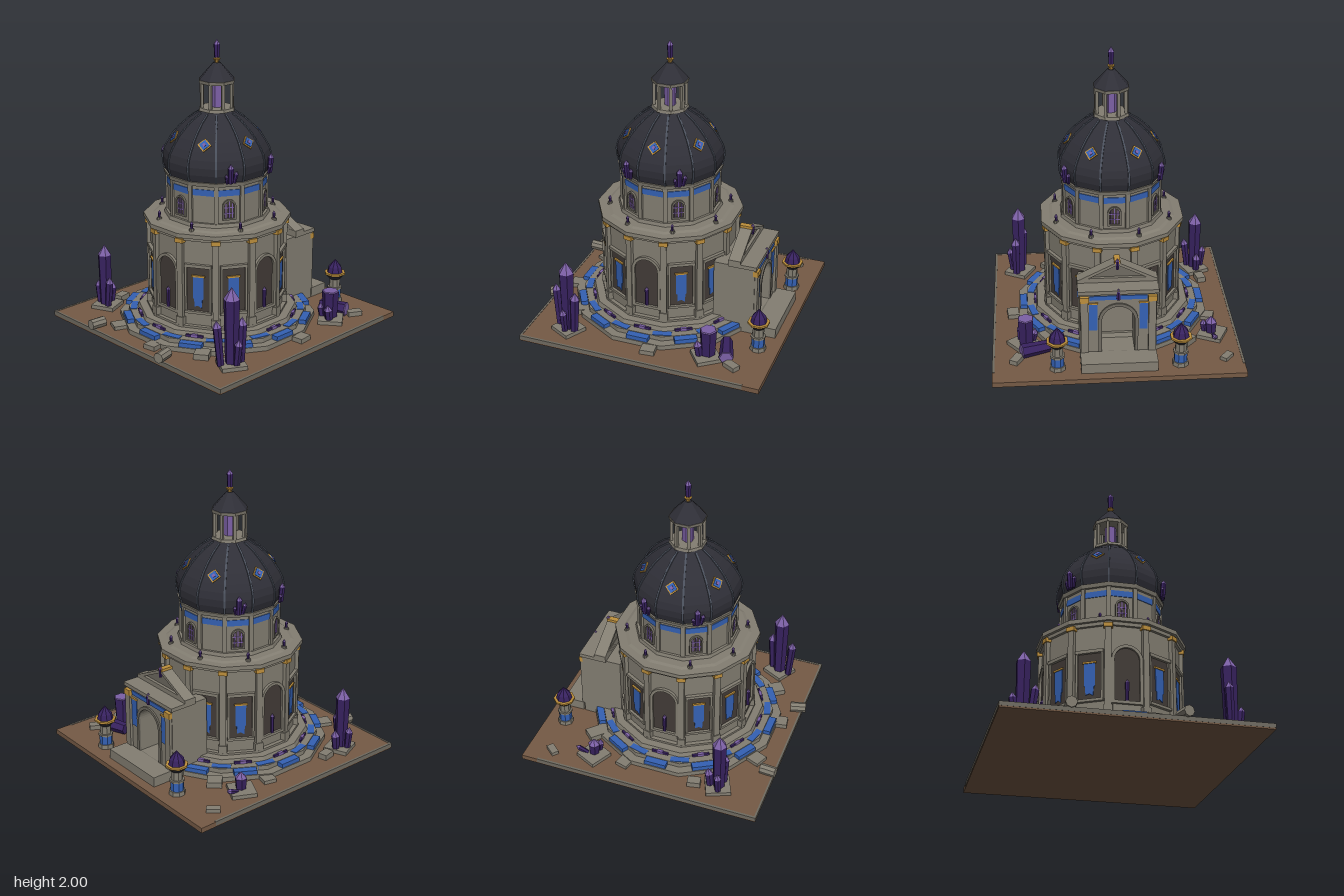
import * as THREE from 'three';

const mat = (name, color) => Object.assign(new THREE.MeshStandardMaterial({ color }), { name });
const M = {
  stone: mat('stone', 0x837e72), trim: mat('dark stone', 0x6f6b61), earth: mat('earth', 0x755a45),
  blue: mat('blue', 0x3461b4), gold: mat('gold', 0xbd8f3c), dark: mat('dark recess', 0x423b37),
  dome: mat('dome slate', 0x2f2f37), rib: mat('rib slate', 0x4a505c),
  violet: mat('deep violet', 0x382260), lilac: mat('lilac', 0x7c60a6),
};
const TAU = Math.PI * 2, CZ = 0.05;

// --- helpers ---
function flat(geo) {
  const g = geo.index ? geo.toNonIndexed() : geo;
  g.computeVertexNormals();
  return g;
}
function add(parent, name, geo, m, x = 0, y = 0, z = 0, ry = 0) {
  const mesh = new THREE.Mesh(geo, m);
  mesh.name = name;
  mesh.position.set(x, y, z);
  mesh.rotation.y = ry;
  parent.add(mesh);
  return mesh;
}
// box given by its bottom and top heights
const box = (p, name, m, w, y0, y1, d, x = 0, z = 0, ry = 0) =>
  add(p, name, new THREE.BoxGeometry(w, y1 - y0, d), m, x, (y0 + y1) / 2, z, ry);
// regular prism with flat sides facing the axes; radii are apothems
function prism(p, name, m, n, r0, r1, y0, y1, x = 0, z = 0) {
  const k = 1 / Math.cos(Math.PI / n);
  const g = new THREE.CylinderGeometry(r1 * k, r0 * k, y1 - y0, n);
  g.rotateY(Math.PI / n);
  return add(p, name, flat(g), m, x, (y0 + y1) / 2, z);
}
function group(parent, name, x = 0, y = 0, z = 0, ry = 0) {
  const g = new THREE.Group();
  g.name = name;
  g.position.set(x, y, z);
  g.rotation.y = ry;
  parent.add(g);
  return g;
}
// n groups turned about the axis, local +z pointing outward
function ring(parent, name, n, offset, build) {
  for (let i = 0; i < n; i++) {
    const a = (i + offset) * TAU / n;
    build(group(parent, name, 0, 0, 0, a), i);
  }
}
function archPath(path, hw, y0, y1) {
  path.moveTo(-hw, y0);
  path.lineTo(hw, y0);
  path.lineTo(hw, y1 - hw);
  path.absarc(0, y1 - hw, hw, 0, Math.PI, false);
  path.lineTo(-hw, y0);
  return path;
}
const arch = (hw, y0, y1) => archPath(new THREE.Shape(), hw, y0, y1);
const extrude = (s, depth) => new THREE.ExtrudeGeometry(s, { depth, bevelEnabled: false, curveSegments: 10 });
function archFrame(hw, y0, y1, t, depth) {
  const s = arch(hw + t, y0 - t, y1 + t);
  s.holes.push(archPath(new THREE.Path(), hw, y0, y1));
  return extrude(s, depth);
}
function crystal(p, x, y, z, r, h, rx = 0, rz = 0, broken = false) {
  const g = group(p, 'crystal', x, y, z);
  g.rotation.set(rx, 0, rz);
  const tip = broken ? 0.006 : Math.min(r * 1.5, h * 0.35), body = h - tip;
  add(g, 'crystalShaft', flat(new THREE.CylinderGeometry(r, r * 0.82, body, 6)), M.violet, 0, body / 2);
  add(g, 'crystalTip', flat(new THREE.CylinderGeometry(broken ? r * 0.9 : 0, r, tip, 6)), M.lilac, 0, body + tip / 2);
  return g;
}

function buildBase(root) {
  box(root, 'ground', M.earth, 1.686, 0, 0.035, 1.715, 0, -0.018);
  for (const s of [-1, 1]) box(root, 'sideKerb', M.trim, 0.016, 0.01, 0.038, 1.6, s * 0.837, 0.04);
  box(root, 'frontKerb', M.trim, 1.686, 0.01, 0.038, 0.014, 0, 0.834);
  const g = group(root, 'steps', 0, 0, CZ);
  prism(g, 'lowerStep', M.stone, 12, 0.66, 0.66, 0.03, 0.068);
  prism(g, 'middleStep', M.stone, 12, 0.602, 0.602, 0.068, 0.1);
  prism(g, 'upperStep', M.stone, 12, 0.54, 0.53, 0.1, 0.13);
  ring(g, 'stepInlay', 12, 0, (f, i) => {
    if (i === 6) return;
    box(f, 'outerTile', M.blue, 0.155, 0.066, 0.098, 0.05, 0, 0.629);
    box(f, 'runeBar', M.violet, 0.12, 0.1, 0.116, 0.014, 0, 0.546);
    box(f, 'runeStud', M.lilac, 0.04, 0.1, 0.12, 0.02, 0, 0.546);
  });
  ring(g, 'stepInlay', 12, 0.5, (f, i) => {
    if (i !== 5 && i !== 6) box(f, 'innerTile', M.blue, 0.13, 0.07, 0.104, 0.046, 0, 0.583);
  });
}

function buildHall(t) {
  prism(t, 'hallPlinth', M.stone, 12, 0.476, 0.476, 0.13, 0.145);
  prism(t, 'hallWall', M.stone, 12, 0.448, 0.448, 0.13, 0.77);
  prism(t, 'hallFrieze', M.stone, 12, 0.468, 0.468, 0.745, 0.77);
  prism(t, 'hallCornice', M.stone, 12, 0.488, 0.488, 0.768, 0.797);
  prism(t, 'hallRoof', M.stone, 12, 0.43, 0.41, 0.797, 0.805);
  ring(t, 'pilaster', 12, 0.5, (f) => {
    box(f, 'pilasterShaft', M.stone, 0.042, 0.14, 0.73, 0.04, 0, 0.464);
    box(f, 'pilasterBase', M.stone, 0.058, 0.14, 0.2, 0.048, 0, 0.466);
    box(f, 'capital', M.gold, 0.06, 0.728, 0.757, 0.05, 0, 0.468);
  });
  ring(t, 'hallBay', 12, 0, (f, i) => {
    if (i === 6) return;
    if (i % 3 === 0) {
      add(f, 'archRecess', extrude(arch(0.082, 0.235, 0.595), 0.004), M.dark, 0, 0, 0.447);
      add(f, 'archFrame', archFrame(0.082, 0.235, 0.595, 0.02, 0.022), M.stone, 0, 0, 0.445);
      crystal(f, 0, 0.235, 0.458, 0.014, 0.145);
    } else {
      box(f, 'panelRecess', M.dark, 0.155, 0.25, 0.56, 0.006, 0, 0.449);
      box(f, 'panelLintel', M.stone, 0.185, 0.56, 0.582, 0.03, 0, 0.456);
      box(f, 'panelSill', M.stone, 0.185, 0.232, 0.25, 0.03, 0, 0.456);
      for (const s of [-1, 1]) box(f, 'panelJamb', M.stone, 0.014, 0.25, 0.56, 0.022, s * 0.084, 0.454);
      box(f, 'bannerRod', M.gold, 0.09, 0.492, 0.504, 0.012, 0, 0.458);
      const b = new THREE.Shape([[-0.036, 0.493], [-0.036, 0.34], [-0.028, 0.335], [-0.026, 0.28], [0.0, 0.288],
        [0.024, 0.272], [0.028, 0.33], [0.036, 0.34], [0.036, 0.493]].map(([x, y]) => new THREE.Vector2(x, y)));
      add(f, 'banner', extrude(b, 0.005), M.blue, 0, 0, 0.453);
    }
  });
  ring(t, 'roofCrystal', 8, 0.5, (f) => {
    prism(f, 'crystalFoot', M.trim, 8, 0.018, 0.014, 0.797, 0.815, 0, 0.418);
    crystal(f, 0, 0.815, 0.418, 0.011, 0.05);
  });
}

function buildDrum(t) {
  prism(t, 'drumPlinth', M.stone, 12, 0.352, 0.345, 0.8, 0.83);
  prism(t, 'drumWall', M.stone, 12, 0.328, 0.328, 0.8, 1.1);
  prism(t, 'drumCornice', M.stone, 12, 0.345, 0.352, 1.085, 1.112);
  ring(t, 'drumPilaster', 12, 0.5, (f) => box(f, 'drumPilasterShaft', M.stone, 0.03, 0.82, 1.09, 0.024, 0, 0.337));
  ring(t, 'drumBay', 12, 0, (f, i) => {
    box(f, 'blueBand', M.blue, 0.152, 1.018, 1.06, 0.008, 0, 0.329);
    if (i % 2) return;
    add(f, 'windowRecess', extrude(arch(0.034, 0.865, 0.982), 0.004), M.dark, 0, 0, 0.327);
    add(f, 'windowFrame', archFrame(0.034, 0.865, 0.982, 0.012, 0.016), M.trim, 0, 0, 0.326);
    for (const x of [-0.022, 0, 0.022]) box(f, 'windowBar', M.lilac, 0.006, 0.865, x ? 0.965 : 0.98, 0.005, x, 0.333);
    for (const y of [0.895, 0.935]) box(f, 'windowBar', M.lilac, 0.066, y, y + 0.006, 0.005, 0, 0.333);
  });
}

function buildDome(t) {
  const profile = [[0.34, 1.11], [0.354, 1.16], [0.356, 1.21], [0.344, 1.26], [0.318, 1.31], [0.28, 1.37],
    [0.235, 1.42], [0.18, 1.47], [0.118, 1.51], [0.1, 1.535]];
  const k = 1 / Math.cos(Math.PI / 12);
  const g = new THREE.LatheGeometry(profile.map(([r, y]) => new THREE.Vector2(r * k, y)), 12);
  g.rotateY(Math.PI / 12);
  add(t, 'domeShell', flat(g), M.dome);
  ring(t, 'domeRib', 12, 0.5, (f) => {
    for (let i = 0; i < profile.length - 2; i++) {
      const [[r0, y0], [r1, y1]] = [profile[i], profile[i + 1]];
      const s = add(f, 'ribPiece', new THREE.BoxGeometry(0.012, Math.hypot(r1 - r0, y1 - y0) + 0.004, 0.012), M.rib,
        0, (y0 + y1) / 2, (r0 + r1) / 2 * k);
      s.rotation.x = Math.atan2(r1 - r0, y1 - y0);
    }
  });
  // diamond ornaments
  ring(t, 'diamond', 6, 0.5, (f) => {
    const d = group(f, 'diamondPlate', 0, 1.352, 0.294);
    d.rotation.x = -0.59;
    for (const [name, r, m, z] of [['diamondRim', 0.047, M.gold, 0], ['diamondFill', 0.036, M.blue, 0.005],
      ['diamondGem', 0.014, M.lilac, 0.009]]) {
      const c = new THREE.CylinderGeometry(r, r, 0.009, 4);
      c.rotateX(Math.PI / 2);
      add(d, name, flat(c), m, 0, 0, z);
    }
  });
  // crystal growths around the foot of the dome
  ring(t, 'domeCrystals', 6, 0, (f, i) => {
    if (i % 3 === 0) return;
    crystal(f, 0, 1.115, 0.368, 0.02, 0.135, 0.08);
    crystal(f, 0.026, 1.115, 0.362, 0.014, 0.085, 0.1, -0.2);
    crystal(f, -0.022, 1.115, 0.366, 0.012, 0.07, 0.2, 0.15);
  });
}

function buildLantern(t) {
  prism(t, 'lanternBase', M.stone, 8, 0.118, 0.114, 1.525, 1.545);
  ring(t, 'lanternColumn', 8, 0.5, (f) => box(f, 'lanternPost', M.stone, 0.02, 1.54, 1.72, 0.02, 0, 0.108));
  prism(t, 'lanternCrystal', M.lilac, 6, 0.034, 0.036, 1.545, 1.71);
  prism(t, 'lanternRing', M.stone, 8, 0.114, 0.118, 1.71, 1.732);
  prism(t, 'lanternRoof', M.dome, 8, 0.115, 0.06, 1.732, 1.8);
  prism(t, 'lanternRoofTop', M.dome, 8, 0.06, 0.022, 1.8, 1.845);
  prism(t, 'finialStem', M.gold, 8, 0.012, 0.012, 1.84, 1.885);
  prism(t, 'finialCollar', M.gold, 8, 0.016, 0.024, 1.855, 1.87);
  crystal(t, 0, 1.88, 0, 0.022, 0.12);
}

function buildPortal(root) {
  // local +z points out of the back of the building
  const p = group(root, 'portal', 0, 0, 0, Math.PI);
  box(p, 'portalCore', M.stone, 0.51, 0.03, 0.55, 0.1, 0, 0.41);
  const s = new THREE.Shape([[-0.255, 0.03], [0.255, 0.03], [0.255, 0.55], [-0.255, 0.55]].map(([x, y]) => new THREE.Vector2(x, y)));
  s.holes.push(archPath(new THREE.Path(), 0.11, 0.1, 0.45));
  add(p, 'portalWall', extrude(s, 0.195), M.stone, 0, 0, 0.455);
  add(p, 'portalArch', archFrame(0.11, 0.1, 0.45, 0.022, 0.015), M.trim, 0, 0, 0.647);
  box(p, 'portalCornice', M.stone, 0.535, 0.545, 0.572, 0.2, 0, 0.565);
  box(p, 'portalStep', M.stone, 0.51, 0.03, 0.105, 0.15, 0, 0.735);
  for (const x of [-0.225, 0.225]) {
    box(p, 'portalPilaster', M.stone, 0.05, 0.1, 0.49, 0.03, x, 0.655);
    box(p, 'portalCapital', M.gold, 0.06, 0.49, 0.53, 0.036, x, 0.656);
  }
  for (const x of [-0.167, 0.167]) {
    box(p, 'portalBanner', M.blue, 0.055, 0.27, 0.47, 0.006, x, 0.653);
    box(p, 'portalBannerRod', M.gold, 0.066, 0.47, 0.48, 0.012, x, 0.655);
  }
  box(p, 'portalFrieze', M.blue, 0.38, 0.5, 0.53, 0.006, 0, 0.653);
  crystal(p, 0, 0.5, 0.655, 0.016, 0.085);
  // gabled pediment
  const tri = (w, y0, y1) => new THREE.Shape([[-w, y0], [w, y0], [0, y1]].map(([x, y]) => new THREE.Vector2(x, y)));
  box(p, 'pedimentBase', M.stone, 0.535, 0.57, 0.595, 0.085, 0, 0.508);
  const gable = tri(0.265, 0.59, 0.722);
  gable.holes.push(tri(0.19, 0.605, 0.7));
  add(p, 'pedimentFrame', extrude(gable, 0.085), M.stone, 0, 0, 0.466);
  add(p, 'pedimentPanel', extrude(tri(0.2, 0.6, 0.702), 0.06), M.trim, 0, 0, 0.47);
  box(p, 'ridgeCap', M.gold, 0.04, 0.712, 0.73, 0.09, 0, 0.508);
  crystal(p, 0, 0.67, 0.55, 0.013, 0.08);
}

function buildLamp(root, x) {
  const g = group(root, 'brazier', x, 0, -0.735);
  prism(g, 'brazierFoot', M.stone, 8, 0.052, 0.05, 0.03, 0.065);
  prism(g, 'brazierBand', M.blue, 8, 0.042, 0.042, 0.065, 0.13);
  prism(g, 'brazierCollar', M.stone, 8, 0.048, 0.048, 0.13, 0.145);
  prism(g, 'brazierStem', M.stone, 8, 0.036, 0.036, 0.145, 0.205);
  prism(g, 'brazierBowl', M.dome, 8, 0.036, 0.068, 0.205, 0.245);
  prism(g, 'brazierRim', M.gold, 8, 0.07, 0.07, 0.243, 0.256);
  prism(g, 'brazierCrystal', M.violet, 8, 0.052, 0.044, 0.256, 0.295);
  prism(g, 'brazierCrystalTip', M.violet, 8, 0.044, 0.002, 0.295, 0.352);
}

function buildSurroundings(root) {
  // crystal clusters on tilted slabs
  for (const [x, z, ry] of [[-0.655, 0.51, 0.4], [0.655, 0.555, -0.5], [-0.67, -0.4, -0.45], [0.63, -0.44, 0.65]])
    box(root, 'clusterSlab', M.stone, 0.17, 0.03, 0.062, 0.17, x, z, ry);
  const c = [[-0.66, 0.52, 0.05, 0.45], [-0.71, 0.53, 0.026, 0.17, 0, 0.1], [-0.61, 0.54, 0.028, 0.23, 0, -0.12], [-0.67, 0.46, 0.03, 0.15, -0.1],
    [0.655, 0.555, 0.054, 0.525], [0.63, 0.63, 0.03, 0.315, 0.08, 0.04], [0.705, 0.56, 0.026, 0.19, 0, -0.12], [0.68, 0.5, 0.034, 0.31, -0.05],
    [-0.66, -0.4, 0.042, 0.13], [-0.62, -0.38, 0.026, 0.09, 0.1, -0.15], [-0.675, -0.44, 0.018, 0.1, -1.2],
    [0.57, -0.42, 0.026, 0.1, 0, 0.2], [0.65, -0.4, 0.03, 0.12, 0.15]];
  for (const [x, z, r, h, rx, rz] of c) crystal(root, x, 0.055, z, r, h, rx, rz);
  crystal(root, 0.615, 0.05, -0.45, 0.06, 0.205, 0, 0, true);
  const log = group(root, 'fallenCrystal', 0.46, 0.08, -0.53, 0.3);
  crystal(log, 0, 0, 0, 0.05, 0.2, 0, -Math.PI / 2, true);
  // loose slabs: x, z, width, depth, turn
  const slabs = [[-0.73, -0.69, 0.05, 0.09, -0.7], [0.68, -0.635, 0.06, 0.1, -0.5], [-0.48, -0.475, 0.1, 0.1, -0.75],
    [-0.665, -0.17, 0.09, 0.09, -0.25], [0.705, -0.055, 0.08, 0.1, 0.1], [-0.685, 0.35, 0.065, 0.09, 0.2],
    [-0.315, 0.68, 0.1, 0.1, -0.4], [0.1, 0.74, 0.09, 0.08, 0.15], [0.43, 0.6, 0.1, 0.1, 0.6]];
  slabs.forEach(([x, z, w, d, ry], i) => box(root, 'rubble', M.stone, w, 0.03, 0.06 + (i % 3) * 0.007, d, x, z, ry));
  // toppled column drums
  for (const [x, z, ry] of [[-0.415, 0.795, -0.08], [0.28, 0.81, 0.25]]) {
    const g = new THREE.CylinderGeometry(0.036, 0.036, 0.11, 8);
    g.rotateX(Math.PI / 2);
    add(root, 'fallenDrum', flat(g), M.stone, x, 0.067, z, ry);
  }
}

export function createModel() {
  const root = new THREE.Group();
  root.name = 'domedTemple';
  buildBase(root);
  const tower = group(root, 'tower', 0, 0, CZ);
  buildHall(tower);
  buildDrum(tower);
  buildDome(tower);
  buildLantern(tower);
  buildPortal(root);
  for (const x of [-0.41, 0.41]) buildLamp(root, x);
  buildSurroundings(root);
  return root;
}
